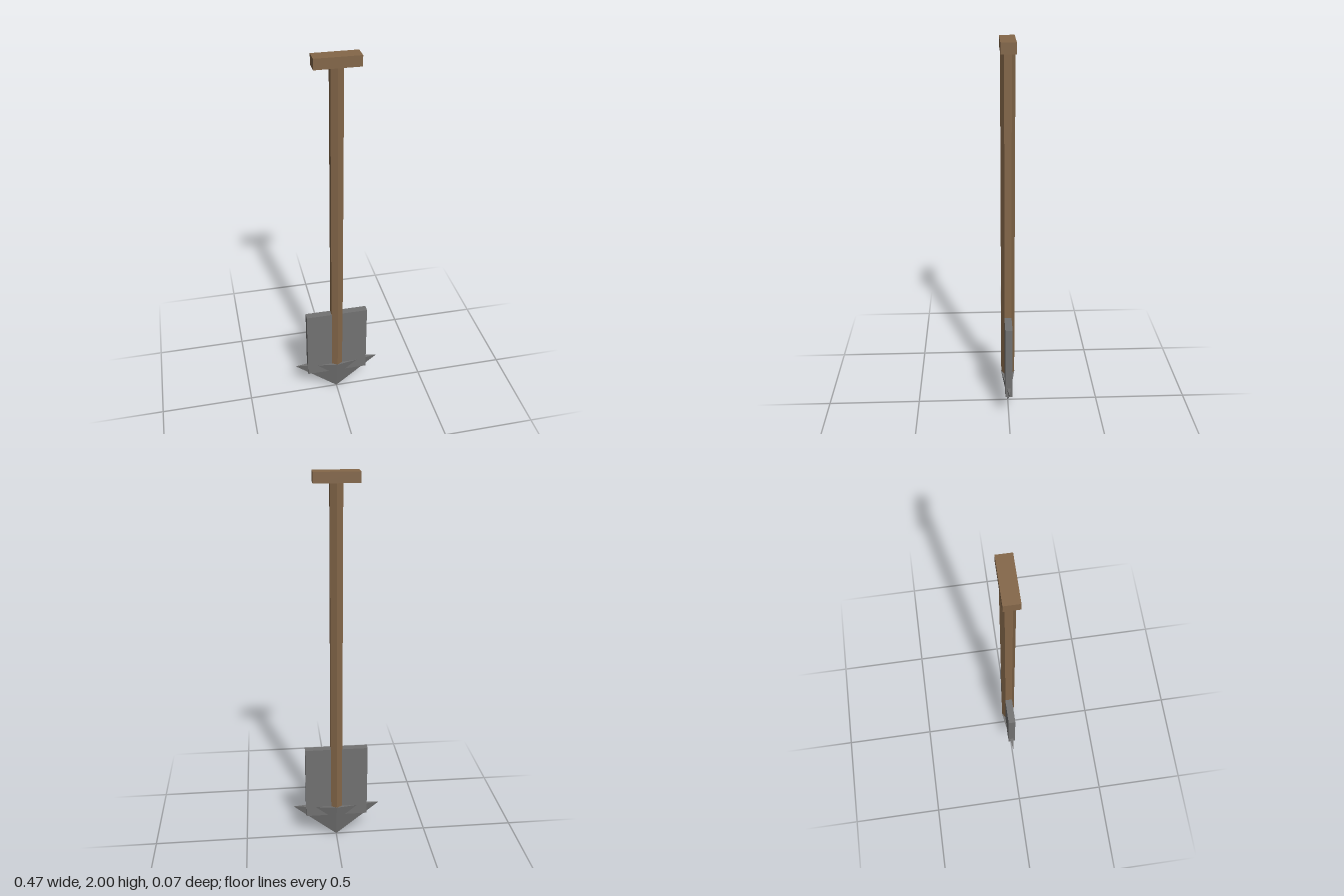
import * as THREE from 'three';

export function createModel() {
  const group = new THREE.Group();
  const wood = new THREE.MeshStandardMaterial({ color: 0x846749, flatShading: true });
  wood.name = 'wood';
  const metal = new THREE.MeshStandardMaterial({ color: 0x727272, flatShading: true });
  metal.name = 'metal';

  function add(name, geometry, material, y) {
    const mesh = new THREE.Mesh(geometry, material);
    mesh.name = name;
    mesh.position.y = y;
    group.add(mesh);
    return mesh;
  }

  // Crossbar grip at the top
  add('grip', new THREE.BoxGeometry(0.224, 0.052, 0.074), wood, 1.974);

  // Hexagonal shaft with ridges facing front and back
  add('shaft', new THREE.CylinderGeometry(0.036, 0.036, 1.756, 6), wood, 1.071);

  // Flat blade plate
  add('blade', new THREE.BoxGeometry(0.336, 0.41, 0.038), metal, 0.343);

  // Point: a four-sided pyramid turned tip down and flattened in z
  const point = new THREE.ConeGeometry(0.236, 0.193, 4);
  point.rotateX(Math.PI);
  point.scale(1, 1, 0.037 / 0.236);
  add('point', point, metal, 0.0965);

  return group;
}
